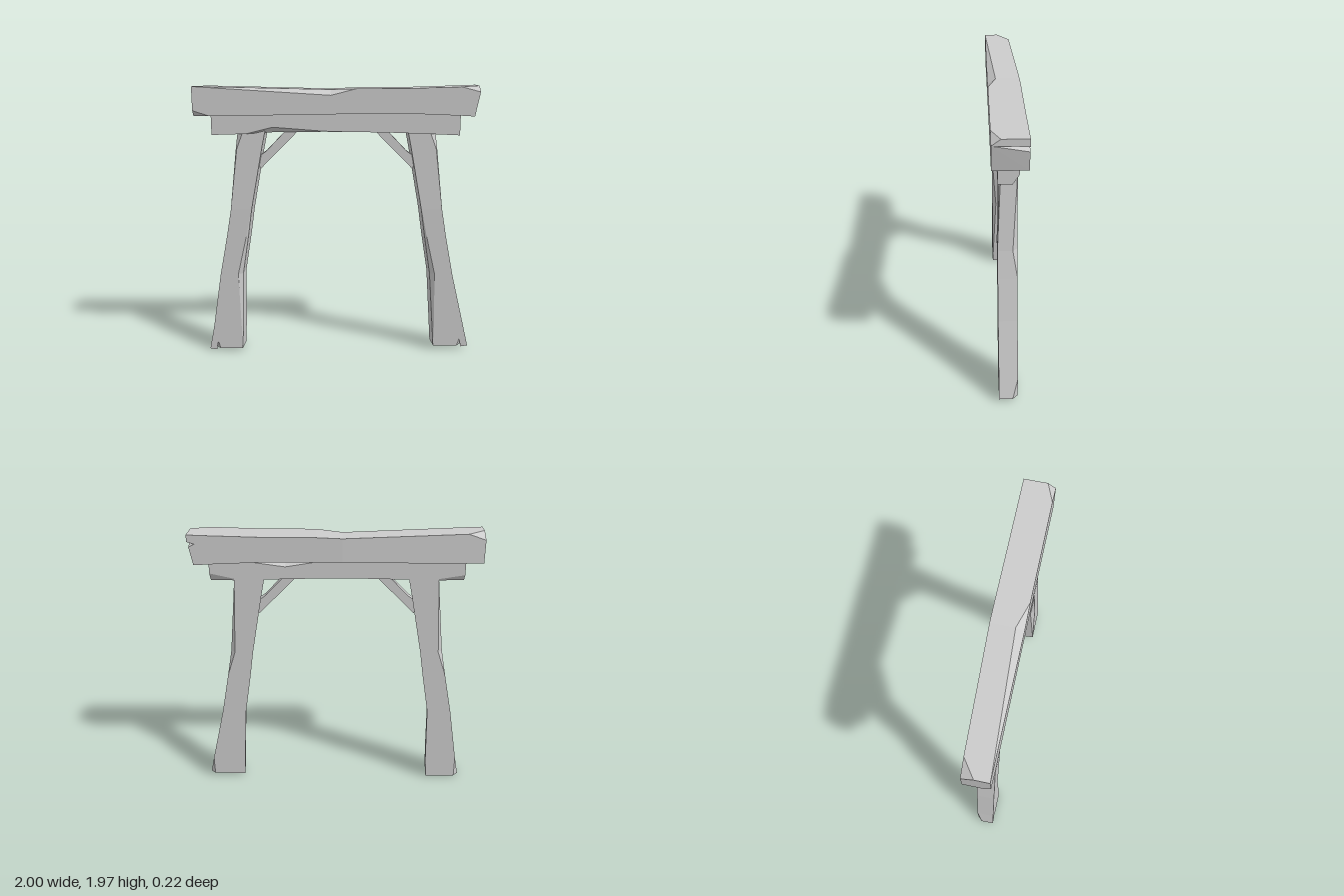
import * as THREE from 'three';

const wood = new THREE.MeshStandardMaterial({ color: 0xcccccc, flatShading: true, side: THREE.DoubleSide });

// Skin a closed solid through rings of [x, y, z] points; end caps fan out from point 0.
function loft(name, rings) {
  const tris = [];
  const n = rings[0].length;
  for (let r = 0; r < rings.length - 1; r++) {
    const a = rings[r], b = rings[r + 1];
    for (let i = 0; i < n; i++) {
      const j = (i + 1) % n;
      tris.push([a[i], a[j], b[j]], [a[i], b[j], b[i]]);
    }
  }
  const last = rings[rings.length - 1];
  for (let i = 1; i < n - 1; i++) {
    tris.push([rings[0][0], rings[0][i + 1], rings[0][i]], [last[0], last[i], last[i + 1]]);
  }
  // Drop empty triangles, and turn everything outward using the signed volume
  let volume = 0;
  const solid = tris.map(t => t.map(p => new THREE.Vector3(...p))).filter(([a, b, c]) => {
    volume += a.dot(b.clone().cross(c));
    return b.clone().sub(a).cross(c.clone().sub(a)).length() > 1e-8;
  });
  const points = solid.flatMap(([a, b, c]) => (volume < 0 ? [a, c, b] : [a, b, c]));
  const geometry = new THREE.BufferGeometry().setFromPoints(points);
  geometry.computeVertexNormals();
  const mesh = new THREE.Mesh(geometry, wood);
  mesh.name = name;
  return mesh;
}

// Heavy upper beam with a split front edge, chipped corners and a cracked end
function topBeam() {
  const zf = 0.105;
  // x, bottom x, top, bottom, front chamfer height, depth, back z, back chip, end crack, bottom chip
  const rows = [
    [-1, -1, 1.965, 1.76, 0, 0, -0.07, 0.08, 0, 0.04],
    [-0.88, -0.88, 1.963, 1.762, 0.006, 0.007, -0.075, 0, 0, 0],
    [-0.04, -0.04, 1.942, 1.775, 0.037, 0.055, -0.112, 0, 0, 0],
    [0.14, 0.14, 1.95, 1.778, 0, 0, -0.112, 0, 0, 0],
    [0.5, 0.5, 1.952, 1.78, 0, 0, -0.112, 0, 0, 0],
    [0.86, 0.86, 1.963, 1.766, 0, 0, -0.112, 0, 0, 0],
    [0.995, 0.962, 1.968, 1.76, 0.04, 0.055, -0.112, 0, 0.05, 0],
  ];
  return loft('topBeam', rows.map(([x, xb, t, b, h, d, zb, chip, crack, c]) => [
    [x, t - h, zf], [xb, b + c, zf], [xb, b, zf - c], [xb, b, zb],
    [x - crack * 0.2, 1.885, zb], [x - crack, 1.905, zb], [x, 1.92, zb],
    [x, t, zb + chip], [x, t, zf - d],
  ]));
}

// Slimmer beam below it, with chips on the front lower and back upper edges
function lowerBeam() {
  // x, top, bottom, front chip height, depth, back lower chip, back upper chip
  const rows = [
    [-0.88, 1.765, 1.628, 0, 0, 0.03, 0],
    [-0.64, 1.77, 1.635, 0, 0, 0, 0],
    [-0.45, 1.775, 1.642, 0.04, 0.05, 0, 0],
    [-0.1, 1.78, 1.65, 0.005, 0.005, 0, 0],
    [0.05, 1.78, 1.65, 0, 0, 0, 0],
    [0.35, 1.782, 1.645, 0, 0, 0, 0.05],
    [0.65, 1.775, 1.635, 0, 0, 0, 0],
    [0.87, 1.77, 1.625, 0, 0, 0.04, 0],
  ];
  return loft('lowerBeam', rows.map(([x, t, b, h, d, lo, up]) => [
    [x, t, 0.066], [x, b + h, 0.066], [x, b, 0.066 - d],
    [x, b, -0.062 + lo], [x, b + lo * 1.5, -0.062],
    [x, t - up, -0.062], [x, t, -0.062 + up * 1.4],
  ]));
}

// Bowed post; s mirrors it, footX and footY place its outer foot corner
function leg(name, s, footX, footY, footIn) {
  // y, outer x, inner x, front z, back outer chip, front inner chip, front outer chip, foot split
  const rows = [
    [footY, footX, footIn, 0.066, 0.035, 0, 0, 0.06],
    [0.18, footX - 0.034, footIn - 0.01, 0.066, 0, 0.008, 0, 0],
    [0.6, 0.855, 0.695, 0.066, 0, 0.03, 0, 0],
    [0.9, 0.796, 0.645, 0.066, 0, 0.01, 0, 0],
    [1.09, 0.763, 0.617, 0.066, 0.03, 0, 0, 0],
    [1.53, 0.715, 0.535, 0.054, 0.006, 0, 0.008, 0],
    [1.66, 0.702, 0.508, 0.05, 0, 0, 0.045, 0],
  ];
  return loft(name, rows.map(([y, xo, xi, zf, bo, fi, fo, split]) => [
    [xo, y, -0.062 + bo], [xo - bo, y, -0.062], [xi - 0.014, y, -0.062],
    [xi - 0.004, y, zf - fi], [xi + fi, y, zf],
    [xo - 0.08, y, zf], [xo - 0.062, y + split, zf], [xo - 0.05, y - split * 0.15, zf],
    [xo - fo, y, zf], [xo, y, zf - fo],
  ].map(([x, py, z]) => [s * x, py, z])));
}

// Slanted brace between post and beam
function brace(name, s) {
  const outline = [[0.545, 1.38], [0.27, 1.655], [0.36, 1.655], [0.5, 1.51], [0.57, 1.46]];
  return loft(name, [-0.03, 0.03].map(z => outline.map(([x, y]) => [s * x, y, z])));
}

export function createModel() {
  const group = new THREE.Group();
  group.name = 'woodenGateway';
  group.add(
    topBeam(), lowerBeam(),
    leg('leftLeg', 1, 0.99, 0.035, 0.735), leg('rightLeg', -1, 0.956, 0.012, 0.715),
    brace('leftBrace', 1), brace('rightBrace', -1),
  );
  return group;
}
